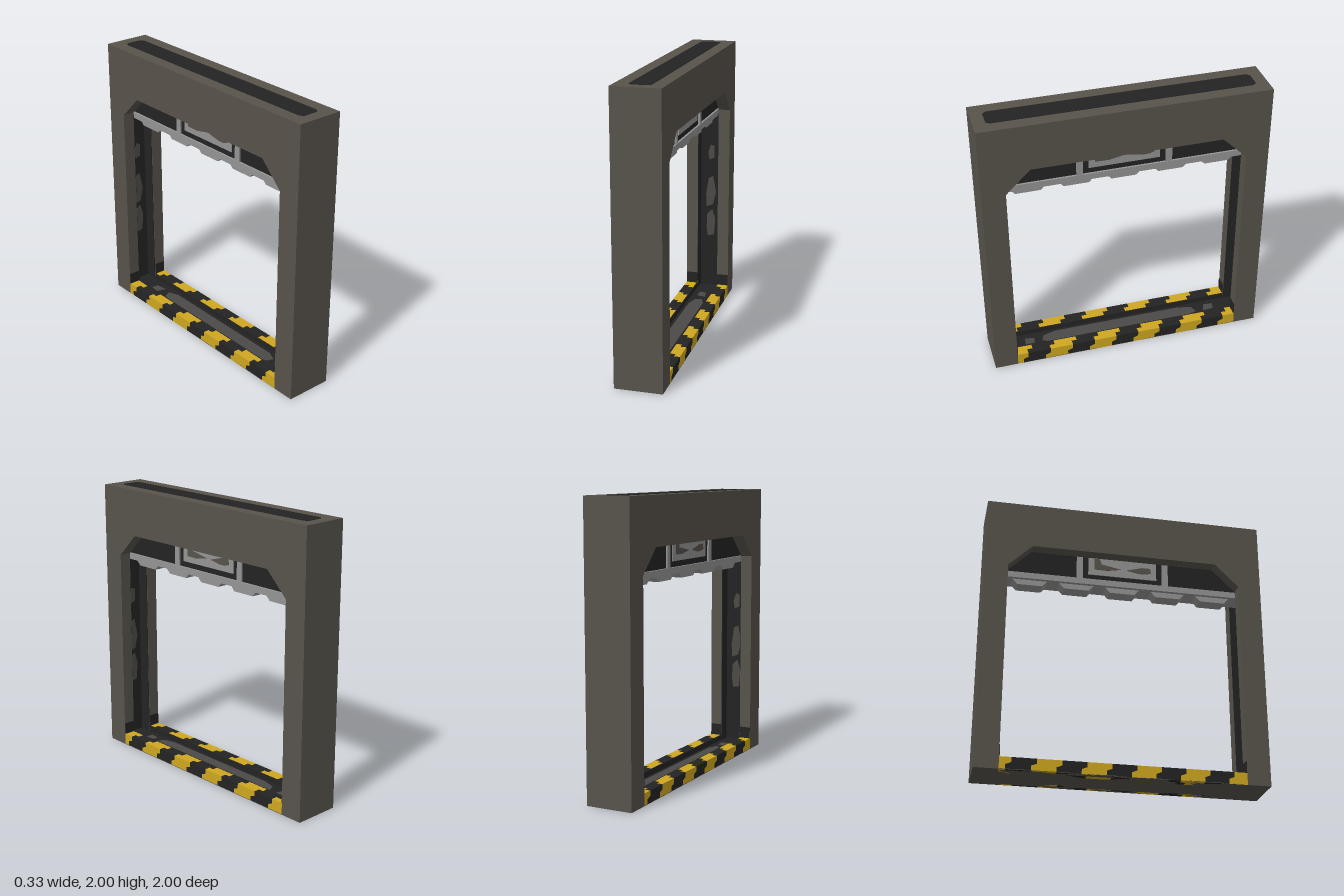
import * as THREE from 'three';

const mat = (name, color) => {
  const m = new THREE.MeshStandardMaterial({ color });
  m.name = name;
  return m;
};

export function createModel() {
  const model = new THREE.Group();
  model.name = 'doorway';
  const frameMat = mat('frame stone grey', 0x57534b);
  const black = mat('black', 0x232323);
  const yellow = mat('hazard yellow', 0xcfa720);
  const light = mat('light grey metal', 0x949494);
  const worn = mat('worn grey', 0x4c4a47);

  const H = 0.167, G = 0.08, IN = 0.835, BACK = 0.93;

  const add = (parent, name, geo, material) => {
    const mesh = new THREE.Mesh(geo, material);
    mesh.name = name;
    parent.add(mesh);
    return mesh;
  };
  // Box given by its extents on each axis
  const box = (parent, name, material, x0, x1, y0, y1, z0, z1) =>
    add(parent, name, new THREE.BoxGeometry(x1 - x0, y1 - y0, z1 - z0), material)
      .position.set((x0 + x1) / 2, (y0 + y1) / 2, (z0 + z1) / 2);
  const shapeOf = (pts) => new THREE.Shape(pts.map(([a, b]) => new THREE.Vector2(a, b)));
  // Outline in (-z, y), extruded from x0 to x1
  const slab = (parent, name, material, shape, x0, x1) => {
    const geo = new THREE.ExtrudeGeometry(shape, { depth: x1 - x0, bevelEnabled: false });
    geo.rotateY(Math.PI / 2).translate(x0, 0, 0);
    return add(parent, name, geo, material);
  };

  // Frame: two outer layers with a chamfered opening, a core with a wider one
  const outline = () => shapeOf([[-1, 0], [1, 0], [1, 2], [-1, 2]]);
  const opening = [[-IN, 0.004], [-IN, 1.5], [-0.665, 1.667], [0.665, 1.667], [IN, 1.5], [IN, 0.004]];
  const face = outline();
  face.holes.push(shapeOf(opening));
  const core = outline();
  core.holes.push(shapeOf([[-BACK, 0.004], [-BACK, 1.72], [BACK, 1.72], [BACK, 0.004]]));
  slab(model, 'frameFace', frameMat, face, G, H);
  slab(model, 'frameFace', frameMat, face, -H, -G);
  slab(model, 'frameCore', frameMat, core, -G, G);

  // Dark inset on the top
  const inset = new THREE.ExtrudeGeometry(
    shapeOf([[-0.055, -0.915], [0.055, -0.915], [0.075, -0.89], [0.075, 0.89],
      [0.055, 0.915], [-0.055, 0.915], [-0.075, 0.89], [-0.075, -0.89]]),
    { depth: 0.004, bevelEnabled: false });
  inset.rotateX(-Math.PI / 2).translate(0, 1.998, 0);
  add(model, 'topInset', inset, black);

  // Black lining and worn patches in the post grooves
  const patches = [
    [[-0.02, 0.46], [0.03, 0.47], [0.04, 0.6], [0.015, 0.68], [-0.025, 0.64], [-0.03, 0.53]],
    [[-0.03, 0.7], [0.02, 0.72], [0.045, 0.82], [0.02, 0.95], [-0.015, 0.93], [-0.035, 0.8]],
    [[-0.01, 1.08], [0.03, 1.1], [0.03, 1.19], [0.0, 1.2], [-0.02, 1.14]],
  ];
  for (const turn of [0, Math.PI]) {
    const post = new THREE.Group();
    post.name = 'postGroove';
    post.rotation.y = turn;
    model.add(post);
    box(post, 'grooveBack', black, -G, G, 0.02, 1.7, -BACK, -BACK + 0.005);
    for (const s of [-1, 1]) {
      const a = s * G, b = s * (G - 0.004);
      box(post, 'grooveWall', black, Math.min(a, b), Math.max(a, b), 0.02, 1.7, -BACK, -IN - 0.003);
      const c = s * (G + 0.002), d = s * (H - 0.002);
      box(post, 'postFoot', black, Math.min(c, d), Math.max(c, d), 0.08, 0.17, -IN - 0.002, -IN + 0.004);
    }
    for (const p of patches) {
      const geo = new THREE.ExtrudeGeometry(shapeOf(p), { depth: 0.004, bevelEnabled: false });
      geo.translate(0, 0, -BACK + 0.005);
      add(post, 'wornPatch', geo, worn);
    }
  }

  // Sill floor with worn tread
  box(model, 'sillFloor', black, -G, G, 0.004, 0.045, -BACK, BACK);
  const tread = [
    [[-0.55, -0.05], [0.5, -0.05], [0.58, -0.02], [0.56, 0.03], [0.46, 0.055],
      [-0.5, 0.055], [-0.6, 0.03], [-0.62, -0.02]],
    [[0.64, -0.03], [0.72, -0.02], [0.73, 0.03], [0.66, 0.035]],
    [[-0.75, -0.03], [-0.68, -0.03], [-0.67, 0.02], [-0.74, 0.03]],
  ];
  for (const p of tread) {
    const geo = new THREE.ExtrudeGeometry(shapeOf(p), { depth: 0.005, bevelEnabled: false });
    geo.rotateX(-Math.PI / 2).rotateY(Math.PI / 2).translate(0, 0.045, 0);
    add(model, 'sillTread', geo, worn);
  }

  // Hazard curbs: stepped stripes that continue over the top
  const W = 1 / 6, STEP = 0.038, TOP = 0.085;
  const clip = (u) => Math.max(-IN, Math.min(IN, u));
  for (const turn of [0, Math.PI]) {
    const curb = new THREE.Group();
    curb.name = 'hazardCurb';
    curb.rotation.y = turn;
    model.add(curb);
    box(curb, 'curbLip', black, G - 0.001, G + 0.006, 0.004, TOP, -IN, IN);
    [[0.126, H, 0], [G + 0.006, 0.126, STEP]].forEach(([x0, x1, shift]) => {
      for (let i = -2; i < 10; i++) {
        const a = -0.793 + i * W + shift;
        const l = clip(a), r = i === 9 ? IN : clip(a + W);
        const l2 = clip(a + STEP), r2 = i === 9 ? IN : clip(a + W + STEP);
        if (r2 - l2 < 0.001) continue;
        const pts = r - l < 0.001
          ? [[l2, 0.05], [r2, 0.05], [r2, TOP], [l2, TOP]]
          : [[l, 0], [r, 0], [r, 0.035], [r2, 0.05], [r2, TOP], [l2, TOP], [l2, 0.05], [l, 0.035]];
        slab(curb, 'hazardStripe', i % 2 === 0 && i >= 0 ? black : yellow, shapeOf(pts), x0, x1);
      }
    });
  }

  // Raised door, its lower edge showing below the lintel
  const door = new THREE.Group();
  door.name = 'raisedDoor';
  model.add(door);
  box(door, 'doorPanel', black, -0.06, 0.06, 1.46, 1.71, -0.92, 0.92);
  box(door, 'doorEdge', light, -0.075, 0.075, 1.455, 1.5, -0.92, 0.92);
  box(door, 'doorPlate', light, -0.066, 0.066, 1.54, 1.7, -0.25, 0.25);
  for (const s of [-1, 1])
    box(door, 'doorBar', light, -0.072, 0.072, 1.5, 1.7, s * 0.313 - 0.022, s * 0.313 + 0.022);
  for (let i = -2; i <= 2; i++) {
    const c = i / 3;
    slab(door, 'doorTooth', light, shapeOf([[c - 0.125, 1.456], [c - 0.088, 1.415],
      [c + 0.088, 1.415], [c + 0.125, 1.456]]), -0.05, 0.05);
  }
  // Worn marks on both faces of the door plate
  const marks = [
    [[-0.205, 1.67], [-0.165, 1.67], [-0.155, 1.63], [-0.01, 1.602], [-0.11, 1.582], [-0.205, 1.584]],
    [[0.03, 1.6], [0.145, 1.632], [0.205, 1.632], [0.21, 1.595], [0.17, 1.582], [0.12, 1.582]],
  ];
  for (const turn of [0, Math.PI])
    for (const p of marks)
      slab(door, 'plateMark', frameMat, shapeOf(p), 0.066, 0.069).rotation.y = turn;

  return model;
}
